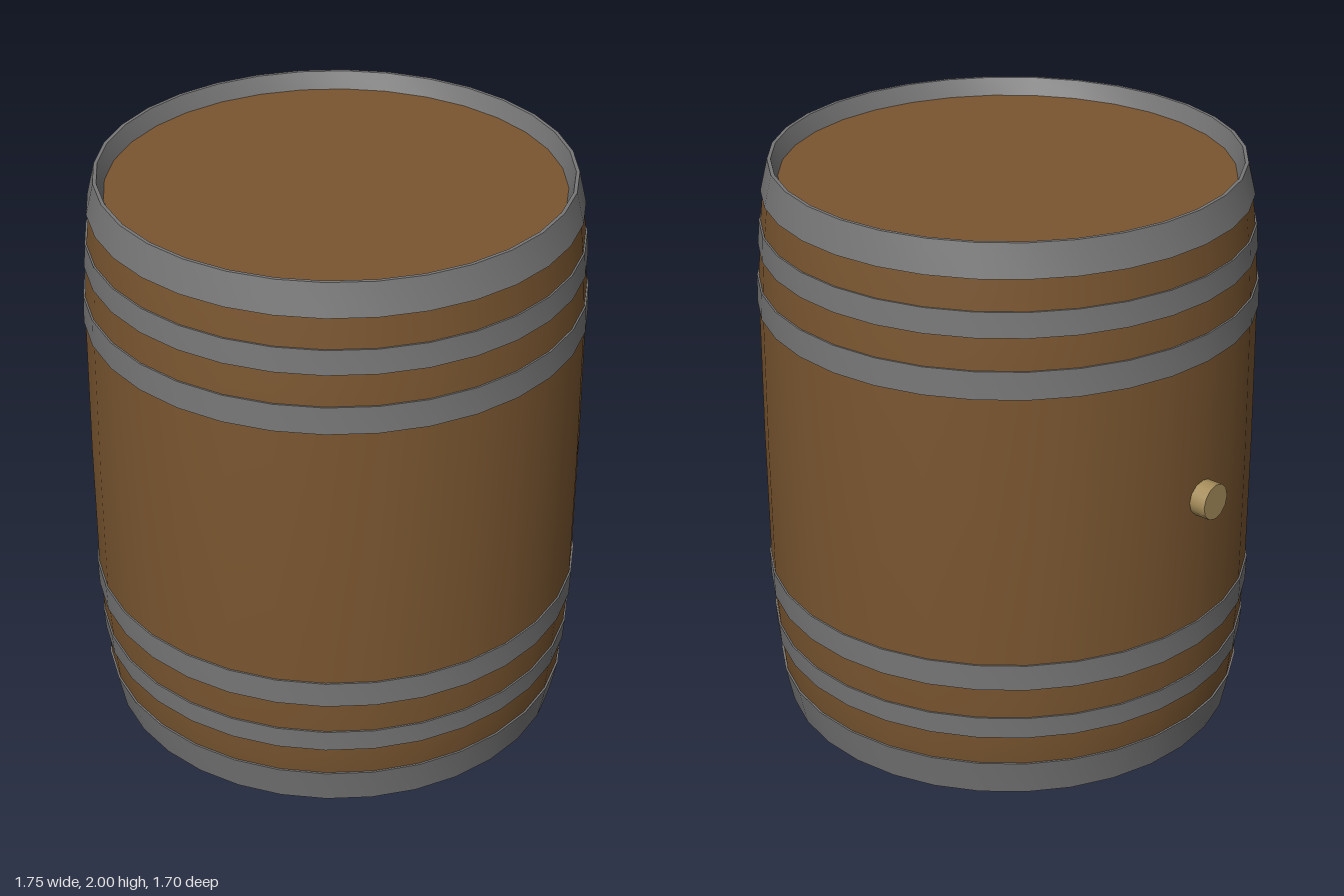
import * as THREE from 'three';
import { toCreasedNormals } from 'three/addons/utils/BufferGeometryUtils.js';

const SIDES = 32;
const wood = new THREE.MeshStandardMaterial({ color: 0x7a5630 });
const iron = new THREE.MeshStandardMaterial({ color: 0x777777 });
const cork = new THREE.MeshStandardMaterial({ color: 0xa58c5a });

// Stave radius by height, bulging towards the middle
const bulge = [[0, 0.788], [0.13, 0.816], [0.24, 0.827], [0.32, 0.833], [0.435, 0.841], [0.53, 0.844], [1, 0.847],
  [1.495, 0.844], [1.59, 0.841], [1.7, 0.833], [1.785, 0.827], [1.89, 0.816], [2, 0.788]];

function radiusAt(y) {
  const i = Math.max(1, bulge.findIndex(([h]) => h >= y));
  const [y0, r0] = bulge[i - 1], [y1, r1] = bulge[i];
  return r0 + (r1 - r0) * (y - y0) / (y1 - y0);
}

// Revolved part: profile of [radius, height], listed upwards on the outside
function turned(name, profile, material) {
  const points = profile.map(([r, y]) => new THREE.Vector2(r, y));
  const mesh = new THREE.Mesh(toCreasedNormals(new THREE.LatheGeometry(points, SIDES), Math.PI / 6), material);
  mesh.name = name;
  return mesh;
}

export function createModel() {
  const model = new THREE.Group();
  model.name = 'barrel';
  const cask = new THREE.Group();
  cask.name = 'cask';
  cask.position.x = 0.025;
  model.add(cask);

  // Staves with flat bottom and recessed lid
  const staves = bulge.slice(0, -1).map(([y, r]) => [r, y]);
  cask.add(turned('staves', [[0, 0.001], [0.788, 0.001], ...staves.slice(1)], wood));
  cask.add(turned('lid', [[0.775, 1.94], [0, 1.94]], wood));

  // Narrow hoops standing slightly proud of the staves
  for (const [y0, y1] of [[0.24, 0.32], [0.435, 0.53], [1.495, 1.59], [1.7, 1.785]]) {
    const r0 = radiusAt(y0), r1 = radiusAt(y1);
    cask.add(turned('hoop', [[r0 - 0.01, y0], [r0 + 0.006, y0], [r1 + 0.006, y1], [r1 - 0.01, y1]], iron));
  }

  // End hoops; the top one folds over the rim down to the lid
  cask.add(turned('bottomHoop', [[0.785, 0], [0.796, 0], [0.823, 0.13], [0.806, 0.13]], iron));
  cask.add(turned('topHoop', [[0.806, 1.89], [0.823, 1.89], [0.797, 2], [0.785, 2], [0.762, 1.935]], iron));

  // Bung on the model's right side
  const bung = new THREE.Mesh(
    toCreasedNormals(new THREE.CylinderGeometry(0.063, 0.063, 0.1, 12), Math.PI / 5), cork);
  bung.name = 'bung';
  bung.rotation.z = Math.PI / 2;
  bung.position.set(-0.825, 1, 0);
  model.add(bung);

  return model;
}
